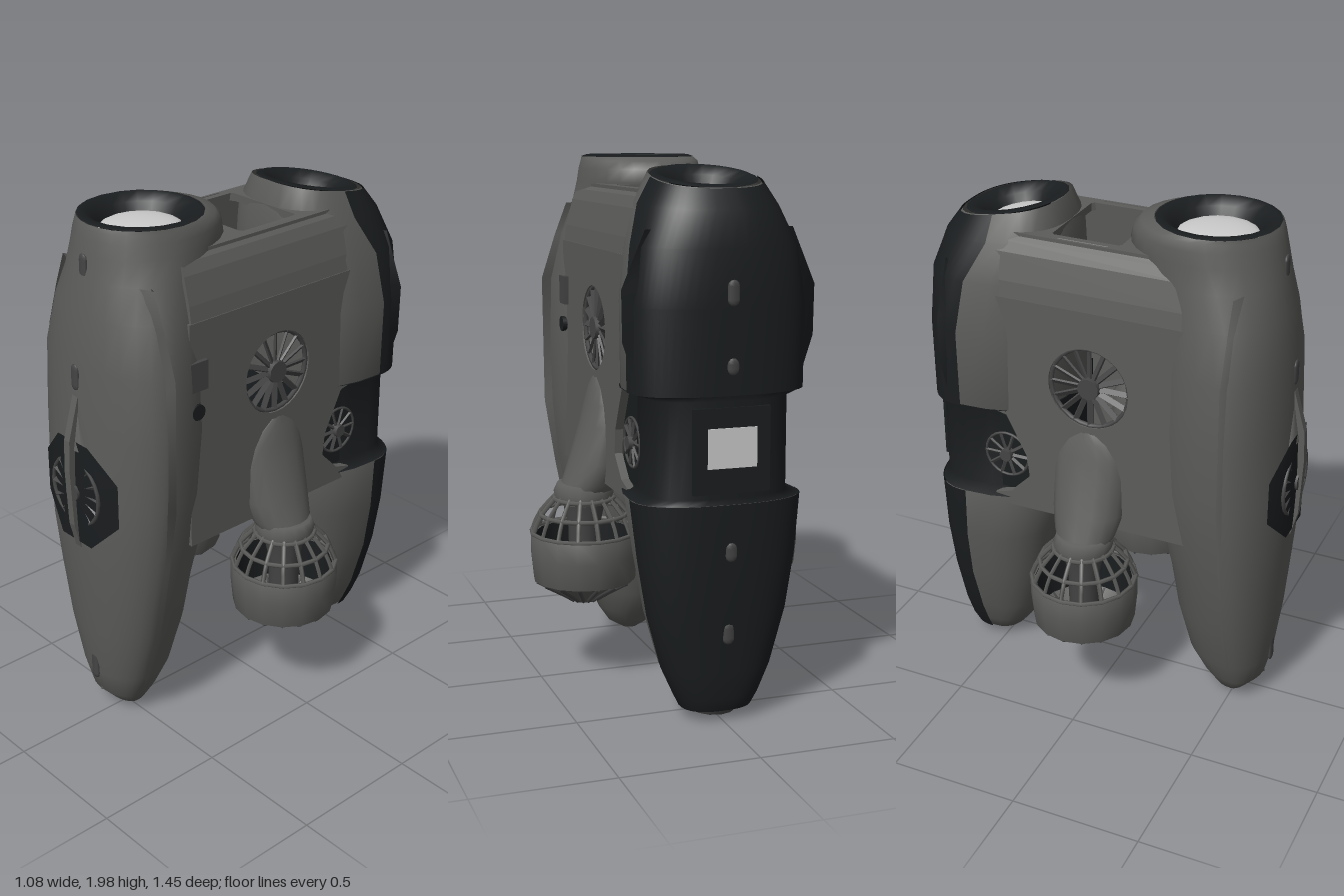
import * as THREE from 'three';

const mat = (color) => new THREE.MeshStandardMaterial({ color, side: THREE.DoubleSide });
const hull = mat(0x5c5c5a), dark = mat(0x1a1d1f), metal = mat(0x454545), light = mat(0xcccccc);
const V2 = (pts) => pts.map(([x, y]) => new THREE.Vector2(x, y));

function add(parent, name, geo, material, x = 0, y = 0, z = 0) {
  const m = new THREE.Mesh(geo, material);
  m.name = name;
  m.position.set(x, y, z);
  parent.add(m);
  return m;
}

// Rows are [y, half width, inner z, outer z, where the section is widest, tilt].
// pow 1 gives elliptical sections, less gives boxier ones
function loft(rows, pow = 1, n = 28, offset = 0, t0 = 0, t1 = Math.PI * 2) {
  const full = t1 - t0 > 6.28, cols = full ? n : n + 1, pos = [], idx = [];
  const bulge = (v) => Math.sign(v) * Math.abs(v) ** pow;
  for (const [y, hx, zi, zo, widest = 0.65, tilt = 0] of rows) {
    const zc = zi + (zo - zi) * widest;
    for (let j = 0; j < cols; j++) {
      const t = t0 + (t1 - t0) * j / n, s = Math.sin(t);
      const reach = s > 0 ? Math.max(zi, zo) - zc : zc - Math.min(zi, zo);
      const z = (reach + offset) * bulge(s);
      pos.push((hx + offset) * bulge(Math.cos(t)), y + tilt * z, zc + z);
    }
  }
  for (let i = 0; i < rows.length - 1; i++) for (let j = 0; j < n; j++) {
    const a = i * cols + j, b = i * cols + (j + 1) % cols;
    idx.push(a, a + cols, b, b, a + cols, b + cols);
  }
  const g = new THREE.BufferGeometry();
  g.setAttribute('position', new THREE.Float32BufferAttribute(pos, 3));
  g.setIndex(idx);
  g.computeVertexNormals();
  return g;
}
const between = (rows, a, b) => rows.filter((r) => r[0] >= a && r[0] <= b);

// Spoked fan facing z
function fan(parent, name, r, count, material, x, y, z, turn = 0) {
  const g = new THREE.Group();
  g.name = name;
  g.position.set(x, y, z);
  g.rotation.y = turn;
  add(g, 'fanHub', new THREE.CylinderGeometry(r * 0.27, r * 0.3, 0.04, 10).rotateX(Math.PI / 2), material);
  for (let i = 0; i < count; i++) {
    const blade = new THREE.BoxGeometry(r * 0.75, r * 0.13, 0.008).rotateX(0.6).translate(r * 0.62, 0, 0);
    add(g, 'fanBlade', blade.rotateZ(i / count * Math.PI * 2), material);
  }
  add(g, 'fanRim', new THREE.TorusGeometry(r, r * 0.06, 6, 24), material);
  parent.add(g);
}

const frontRows = [
  [0.01, 0.03, 0.46, 0.5], [0.04, 0.085, 0.415, 0.555], [0.1, 0.125, 0.365, 0.61], [0.2, 0.165, 0.305, 0.635],
  [0.4, 0.225, 0.255, 0.66], [0.6, 0.265, 0.225, 0.675], [0.8, 0.3, 0.17, 0.69], [1, 0.32, 0.15, 0.69],
  [1.25, 0.328, 0.15, 0.68], [1.5, 0.322, 0.15, 0.67], [1.68, 0.285, 0.14, 0.648, 0.62], [1.8, 0.25, 0.07, 0.625, 0.6],
  [1.89, 0.24, 0.045, 0.61, 0.55], [1.94, 0.235, 0.055, 0.6, 0.53], [1.97, 0.228, 0.085, 0.592, 0.5],
  [1.985, 0.22, 0.135, 0.585, 0.5]];
const REAR = 0.78;
const rearRows = [
  [0.04, 0.08, -0.5, -0.62, 0.5], [0.05, 0.125, -0.45, -0.65, 0.5], [0.1, 0.15, -0.41, -0.67, 0.55],
  [0.2, 0.195, -0.36, -0.68, 0.6], [0.4, 0.25, -0.305, -0.695], [0.6, 0.282, -0.265, -0.71], [0.82, 0.305, -0.21, -0.715],
  [0.84, 0.25, -0.25, -0.71], [1.18, 0.25, -0.25, -0.71], [1.2, 0.312, -0.2, -0.715],
  [1.5, 0.316, -0.2, -0.715], [1.7, 0.29, -0.2, -0.71, 0.6],
  [1.84, 0.24, -0.2, -0.67, 0.5, 0.06], [1.93, 0.19, -0.24, -0.62, 0.5, 0.18]];

// Sharp ridge down both flanks of a pod: points are [half width, y]
const ridge = (pts, z, depth) => loft(pts.map(([x, y]) => [y, x, z - depth, z + depth, 0.5]), 1, 4);

// Caged thruster on its swept pylon
function thruster(parent) {
  const g = new THREE.Group();
  g.name = 'thruster';
  g.position.set(0.33, 0, -0.025);
  const lathe = (name, pts, material) => add(g, name, new THREE.LatheGeometry(V2(pts), 16), material);
  lathe('thrusterDrum', [[0.18, 0.41], [0.195, 0.4], [0.205, 0.5], [0.205, 0.58], [0.185, 0.58]], hull);
  lathe('thrusterLiner', [[0.18, 0.41], [0.185, 0.58]], dark);
  lathe('thrusterCap', [[0.105, 0.7], [0.115, 0.74], [0.1, 0.775], [0, 0.775]], hull);
  lathe('thrusterCore', [[0.055, 0.33], [0.06, 0.6], [0.09, 0.74]], metal);
  lathe('thrusterNozzle', [[0, 0.305], [0.045, 0.31], [0.1, 0.352], [0.185, 0.405]], hull);
  for (const [r, y] of [[0.2, 0.585], [0.168, 0.655], [0.115, 0.715]])
    add(g, 'cageRing', new THREE.TorusGeometry(r, 0.009, 5, 16).rotateX(Math.PI / 2), hull, 0, y, 0);
  const bar = (pts) => new THREE.TubeGeometry(new THREE.CatmullRomCurve3(
    pts.map(([x, y]) => new THREE.Vector3(x, y, 0))), 4, 0.009, 4);
  for (let i = 0; i < 16; i++) {
    const a = i / 16 * Math.PI * 2;
    add(g, 'cageBar', bar([[0.2, 0.58], [0.168, 0.655], [0.105, 0.725]]).rotateY(a), hull);
    add(g, 'nozzleVane', bar([[0.185, 0.4], [0.1, 0.35], [0.05, 0.318]]).rotateY(a), metal);
  }
  parent.add(g);
  // Pylon sections: [y, inner x, outer x, half depth]
  const pylon = [[0.74, 0.22, 0.425, 0.1], [0.78, 0.2, 0.41, 0.12], [0.86, 0.17, 0.38, 0.14],
    [1, 0.17, 0.335, 0.145], [1.08, 0.18, 0.315, 0.135], [1.14, 0.2, 0.3, 0.1], [1.18, 0.22, 0.288, 0.04]];
  const geo = loft(pylon.map(([y, xi, xo, d]) => [y, d, xi, xo, 0.5]), 1, 16);
  add(parent, 'pylon', geo.rotateY(Math.PI / 2), hull, 0, 0, -0.025);
}

// One side of the central body, on +x
function side(parent, sign) {
  const g = new THREE.Group();
  g.name = sign > 0 ? 'leftSide' : 'rightSide';
  g.scale.x = sign;
  const plate = new THREE.Shape(V2([[0.4, 0.79], [0.4, 1.66], [-0.45, 1.66], [-0.45, 1.2], [-0.36, 1.18],
    [-0.28, 1.02], [-0.27, 0.93], [-0.35, 0.85], [-0.42, 0.83], [-0.4, 0.79]]));
  plate.holes.push(new THREE.Path().absarc(-0.02, 1.36, 0.16, 0, Math.PI * 2, true));
  add(g, 'sidePlate', new THREE.ExtrudeGeometry(plate, { depth: 0.03, bevelEnabled: false, curveSegments: 16 })
    .rotateY(-Math.PI / 2), hull, 0.282);
  add(g, 'fanFrame', new THREE.RingGeometry(0.16, 0.185, 24).rotateY(Math.PI / 2), hull, 0.287, 1.36, -0.02);
  fan(g, 'sideFan', 0.155, 16, metal, 0.268, 1.36, -0.02, Math.PI / 2);
  fan(g, 'pocketFan', 0.09, 10, metal, 0.25, 0.99, -0.38, Math.PI / 2);
  // Sloping shoulder up to the deck
  const shoulder = new THREE.Shape(V2([[0.282, 1.64], [0.27, 1.72], [0.245, 1.82], [0.225, 1.86], [0.195, 1.885],
    [0.17, 1.885], [0.19, 1.64]]));
  add(g, 'shoulder', new THREE.ExtrudeGeometry(shoulder, { depth: 0.82, bevelEnabled: false }), hull, 0, 0, -0.43);
  thruster(g);
  parent.add(g);
}

// Dark collar with a pale lens in a pod mouth
function mouth(parent, name, r, inner, y, z, tilt) {
  const g = new THREE.Group();
  g.name = name;
  g.position.set(0, y, z);
  g.rotation.x = -tilt;
  add(g, 'collar', new THREE.LatheGeometry(V2([[inner, -0.06], [inner + 0.02, -0.02], [r - 0.01, 0.008],
    [r + 0.012, 0]]), 20), dark);
  add(g, 'lens', new THREE.SphereGeometry(inner + 0.01, 16, 6, 0, Math.PI * 2, 0, Math.PI / 2).scale(1, 0.2, 1),
    light, 0, -0.06, 0);
  parent.add(g);
}

// Front pod, set slightly off the centre line
function frontPod(parent) {
  const g = new THREE.Group();
  g.name = 'frontPod';
  g.position.x = -0.014;
  add(g, 'frontShell', loft(frontRows), hull);
  add(g, 'frontRidge', ridge([[0.115, 0.1], [0.178, 0.2], [0.24, 0.38], [0.31, 0.75], [0.35, 1], [0.355, 1.5],
    [0.3, 1.67], [0.25, 1.8]], 0.515, 0.1), hull);
  mouth(g, 'frontMouth', 0.21, 0.14, 1.985, 0.36, 0);
  // Intake laid onto the pod's curve, with its fan and centre keel
  const intake = new THREE.RingGeometry(0.001, 0.22, 8, 6).rotateZ(Math.PI / 8), p = intake.attributes.position;
  for (let i = 0; i < p.count; i++)
    p.setZ(i, 0.512 + 0.19 * Math.sqrt(1 - (p.getX(i) / 0.32) ** 2));
  intake.computeVertexNormals();
  add(g, 'frontIntake', intake, dark, 0, 1.01, 0);
  fan(g, 'frontFan', 0.13, 14, metal, 0, 1.01, 0.69);
  const keel = new THREE.Shape(V2([[0.6, 0.78], [0.69, 0.78], [0.715, 0.88], [0.725, 1.1], [0.72, 1.22],
    [0.675, 1.38], [0.6, 1.38]]));
  add(g, 'keel', new THREE.ExtrudeGeometry(keel, { depth: 0.03, bevelEnabled: false })
    .rotateY(-Math.PI / 2), hull, 0.015);
  add(g, 'keelRoot', new THREE.ConeGeometry(0.07, 0.2, 8).scale(1, 1, 0.5), hull, 0, 1.28, 0.67);
  for (const [y, z, h] of [[1.84, 0.615, 0.1], [1.45, 0.67, 0.1], [0.23, 0.637, 0.12]]) latch(g, y, z, h);
  parent.add(g);
}

// Low catch on a pod's seam
function latch(parent, y, z, h) {
  add(parent, 'latch', new THREE.CapsuleGeometry(0.022, h - 0.044, 3, 8).scale(1, 1, 0.35), metal, 0, y, z);
}

export function createModel() {
  const model = new THREE.Group();
  model.name = 'twinPodCraft';

  frontPod(model);

  // Rear pod and its dark shell
  add(model, 'rearPod', loft(rearRows, REAR), hull);
  add(model, 'rearRidge', ridge([[0.3, 1.22], [0.352, 1.38], [0.355, 1.56], [0.27, 1.76]], -0.59, 0.1), dark);
  const a = Math.PI, b = Math.PI * 2;
  add(model, 'upperRearShell', loft(between(rearRows, 1.2, 2), REAR, 28, 0.008, a, b), dark);
  add(model, 'lowerRearShell', loft(between(rearRows, 0.05, 0.82), REAR, 28, 0.008, a, b), dark);
  add(model, 'rearWaist', loft(between(rearRows, 0.82, 1.2), REAR, 28, 0.005), dark);
  add(model, 'pocketCore', new THREE.BoxGeometry(0.48, 0.37, 0.25), dark, 0, 1.015, -0.375);
  add(model, 'rearFoot', new THREE.CylinderGeometry(0.1, 0.08, 0.04, 12), metal, 0, 0.045, -0.55);
  mouth(model, 'rearMouth', 0.18, 0.105, 1.93, -0.43, 0.18);
  for (const [y, z, h] of [[1.55, -0.722, 0.09], [1.3, -0.722, 0.06], [0.65, -0.718, 0.07], [0.35, -0.697, 0.08]])
    latch(model, y, z, h);

  // Rear lamp
  add(model, 'lampFrame', new THREE.BoxGeometry(0.28, 0.3, 0.03), dark, 0, 1.01, -0.705);
  add(model, 'lamp', new THREE.BoxGeometry(0.18, 0.14, 0.02), light, 0, 1.02, -0.715);

  // Central body
  for (const s of [1, -1]) side(model, s);
  add(model, 'floor', new THREE.BoxGeometry(0.555, 0.03, 0.7), hull, 0, 0.805, -0.02);
  const deck = new THREE.Shape(V2([[-0.21, -0.3], [0.21, -0.3], [0.21, 0.34], [-0.21, 0.34]]));
  deck.holes.push(new THREE.Path(V2([[-0.2, -0.02], [-0.16, -0.06], [0.16, -0.06], [0.2, -0.02],
    [0.2, 0.17], [0.16, 0.21], [-0.16, 0.21], [-0.2, 0.17]])));
  add(model, 'deck', new THREE.ExtrudeGeometry(deck, { depth: 0.03, bevelEnabled: false })
    .rotateX(-Math.PI / 2), hull, 0, 1.855, 0);
  add(model, 'wellFloor', new THREE.BoxGeometry(0.4, 0.02, 0.4), dark, 0, 1.67, -0.07);
  add(model, 'wellMachine', new THREE.BoxGeometry(0.2, 0.08, 0.12), dark, 0, 1.72, -0.07);

  // Service hatch and port on the left flank
  add(model, 'hatch', new THREE.BoxGeometry(0.02, 0.11, 0.08), metal, 0.288, 1.465, 0.37);
  add(model, 'port', new THREE.CylinderGeometry(0.03, 0.03, 0.02, 12).rotateZ(Math.PI / 2), dark, 0.29, 1.33, 0.375);
  return model;
}
